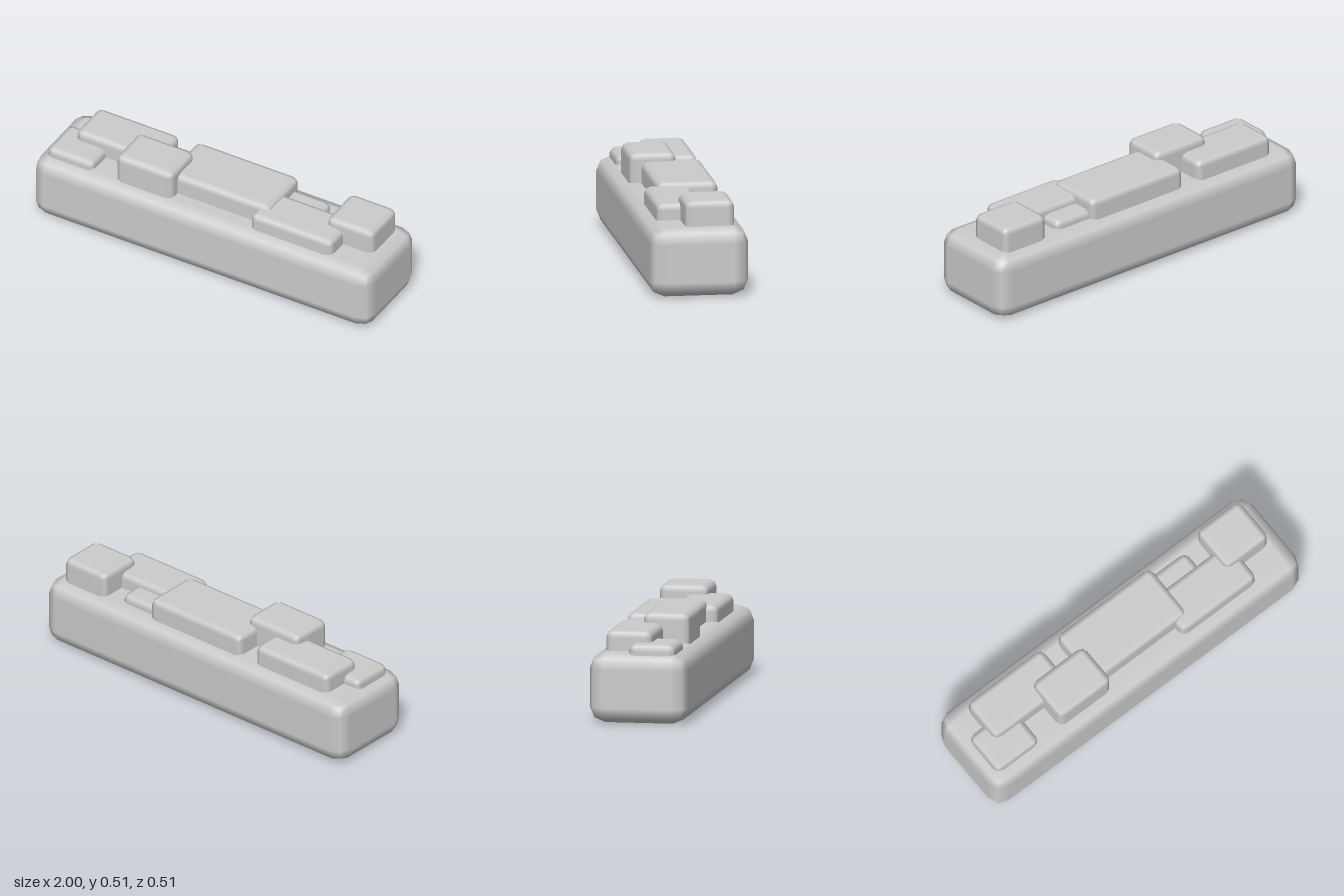
import * as THREE from 'three';
import { RoundedBoxGeometry } from 'three/addons/geometries/RoundedBoxGeometry.js';

const material = new THREE.MeshStandardMaterial({ color: 0xcccccc });

// Box between two corners, with a two-step bevel on every edge
function bevelBox(name, [x0, x1], [y0, y1], [z0, z1], radius) {
  const geometry = new RoundedBoxGeometry(x1 - x0, y1 - y0, z1 - z0, 1, radius);
  const mesh = new THREE.Mesh(geometry, material);
  mesh.name = name;
  mesh.position.set((x0 + x1) / 2, (y0 + y1) / 2, (z0 + z1) / 2);
  return mesh;
}

export function createModel() {
  const model = new THREE.Group();
  model.name = 'blockWall';

  // Long base slab
  model.add(bevelBox('base', [-1, 1], [0, 0.358], [-0.255, 0.255], 0.08));

  // Overlapping blocks sunk into the top: x range, z range, top height
  const blocks = new THREE.Group();
  blocks.name = 'topBlocks';
  const layout = [
    ['backRightBlock', [-0.85, -0.365], [-0.188, 0.053], 0.46],
    ['frontRightLowBlock', [-0.943, -0.668], [-0.053, 0.188], 0.405],
    ['frontTallBlock', [-0.535, -0.2], [-0.053, 0.188], 0.511],
    ['middleBlock', [-0.267, 0.34], [-0.188, 0.128], 0.468],
    ['backLowBlock', [0.2, 0.55], [-0.16, 0.05], 0.405],
    ['frontLeftBlock', [0.258, 0.743], [-0.053, 0.188], 0.443],
    ['backLeftTallBlock', [0.64, 0.917], [-0.188, 0.067], 0.488],
  ];
  for (const [name, x, z, top] of layout) {
    blocks.add(bevelBox(name, x, [0.2, top], z, 0.035));
  }
  model.add(blocks);
  return model;
}
